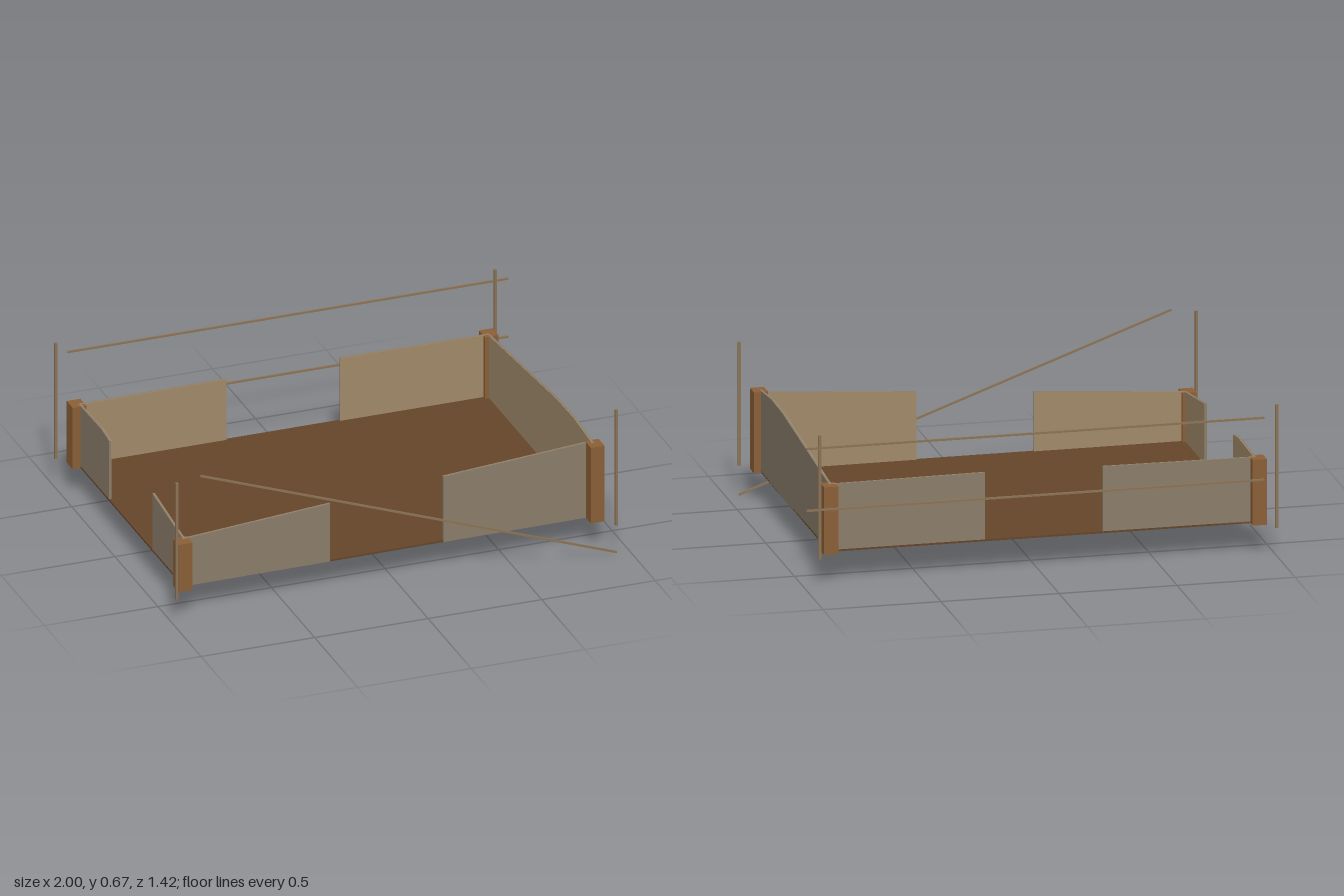
import * as THREE from 'three';

const BASE = 0.13;

function material(name, color) {
  const m = new THREE.MeshStandardMaterial({ color });
  m.name = name;
  return m;
}

export function createModel() {
  const root = new THREE.Group();
  root.name = 'ruinedEnclosure';
  const stone = material('weathered grey', 0x8b7d6b);
  const lining = material('inner tan', 0xa08a6a);
  const post = material('post brown', 0x8b5f37);
  const dirt = material('floor brown', 0x654529);
  const pole = material('pole wood', 0x8b7355);

  function add(name, geometry, mat, parent = root) {
    const mesh = new THREE.Mesh(geometry, mat);
    mesh.name = name;
    parent.add(mesh);
    return mesh;
  }

  // Floor slab, its front edge slightly askew
  const floorShape = new THREE.Shape([
    [-0.93, -0.605], [0.88, -0.592], [0.88, 0.61], [-0.93, 0.61],
  ].map(([x, y]) => new THREE.Vector2(x, y)));
  const floorGeo = new THREE.ExtrudeGeometry(floorShape, { depth: 0.008, bevelEnabled: false });
  floorGeo.rotateX(-Math.PI / 2);
  add('floor', floorGeo, dirt).position.y = BASE;

  // Corner posts broken off at different heights: x, z, top
  for (const [x, z, top] of [
    [-0.935, 0.615, 0.347], [0.88, 0.615, 0.476], [0.88, -0.615, 0.42], [-0.935, -0.615, 0.412],
  ]) {
    const h = top - BASE;
    add('cornerPost', new THREE.BoxGeometry(0.06, h, 0.07), post).position.set(x, BASE + h / 2, z);
  }

  // Wall panel from a to b (counterclockwise, so +z local is outward);
  // profile lists [fraction along the wall, top height]
  function wall(name, a, b, profile) {
    const dx = b[0] - a[0], dz = b[1] - a[1], length = Math.hypot(dx, dz);
    const shape = new THREE.Shape();
    shape.moveTo(0, BASE);
    shape.lineTo(length, BASE);
    for (const [t, h] of [...profile].reverse()) shape.lineTo(t * length, h);
    shape.closePath();
    const group = new THREE.Group();
    group.name = name;
    const layer = (part, depth, back, mat) => {
      const geo = new THREE.ExtrudeGeometry(shape, { depth, bevelEnabled: false });
      add(part, geo, mat, group).position.z = -back;
    };
    layer('outerFace', 0.008, 0.008, stone);
    layer('innerFace', 0.003, 0.011, lining);
    group.position.set(a[0], 0, a[1]);
    group.rotation.y = Math.atan2(-dz, dx);
    root.add(group);
  }

  wall('frontWallRight', [-0.93, 0.605], [-0.28, 0.601], [[0, 0.347], [1, 0.395]]);
  wall('frontWallLeft', [0.22, 0.597], [0.88, 0.592], [[0, 0.43], [1, 0.475]]);
  wall('leftWall', [0.88, 0.61], [0.88, -0.61],
    [[0, 0.477], [0.17, 0.495], [0.33, 0.492], [1, 0.42]]);
  wall('backWallLeft', [0.88, -0.61], [0.22, -0.61], [[0, 0.42], [1, 0.425]]);
  wall('backWallRight', [-0.28, -0.61], [-0.93, -0.61], [[0, 0.416], [1, 0.412]]);
  wall('rightWallBack', [-0.93, -0.61], [-0.93, -0.25], [[0, 0.412], [0.75, 0.418], [1, 0.405]]);
  wall('rightWallFront', [-0.93, 0.25], [-0.93, 0.605], [[0, 0.395], [1, 0.347]]);

  // Thin fence stakes outside the corners
  for (const x of [-0.994, 0.942]) {
    for (const z of [-0.702, 0.702]) {
      add('fenceStake', new THREE.BoxGeometry(0.012, 0.53, 0.012), pole).position.set(x, 0.395, z);
    }
  }

  // Fence rails: two level at the back, one fallen at the front
  for (const [x0, y0, x1, y1, z] of [
    [-0.94, 0.607, 1, 0.607, -0.705],
    [-0.94, 0.341, 1, 0.341, -0.705],
    [-0.888, 0.673, 0.944, 0.006, 0.7],
  ]) {
    const length = Math.hypot(x1 - x0, y1 - y0);
    const rail = add('fenceRail', new THREE.BoxGeometry(length, 0.008, 0.008), pole);
    rail.position.set((x0 + x1) / 2, (y0 + y1) / 2, z);
    rail.rotation.z = Math.atan2(y1 - y0, x1 - x0);
  }

  return root;
}
